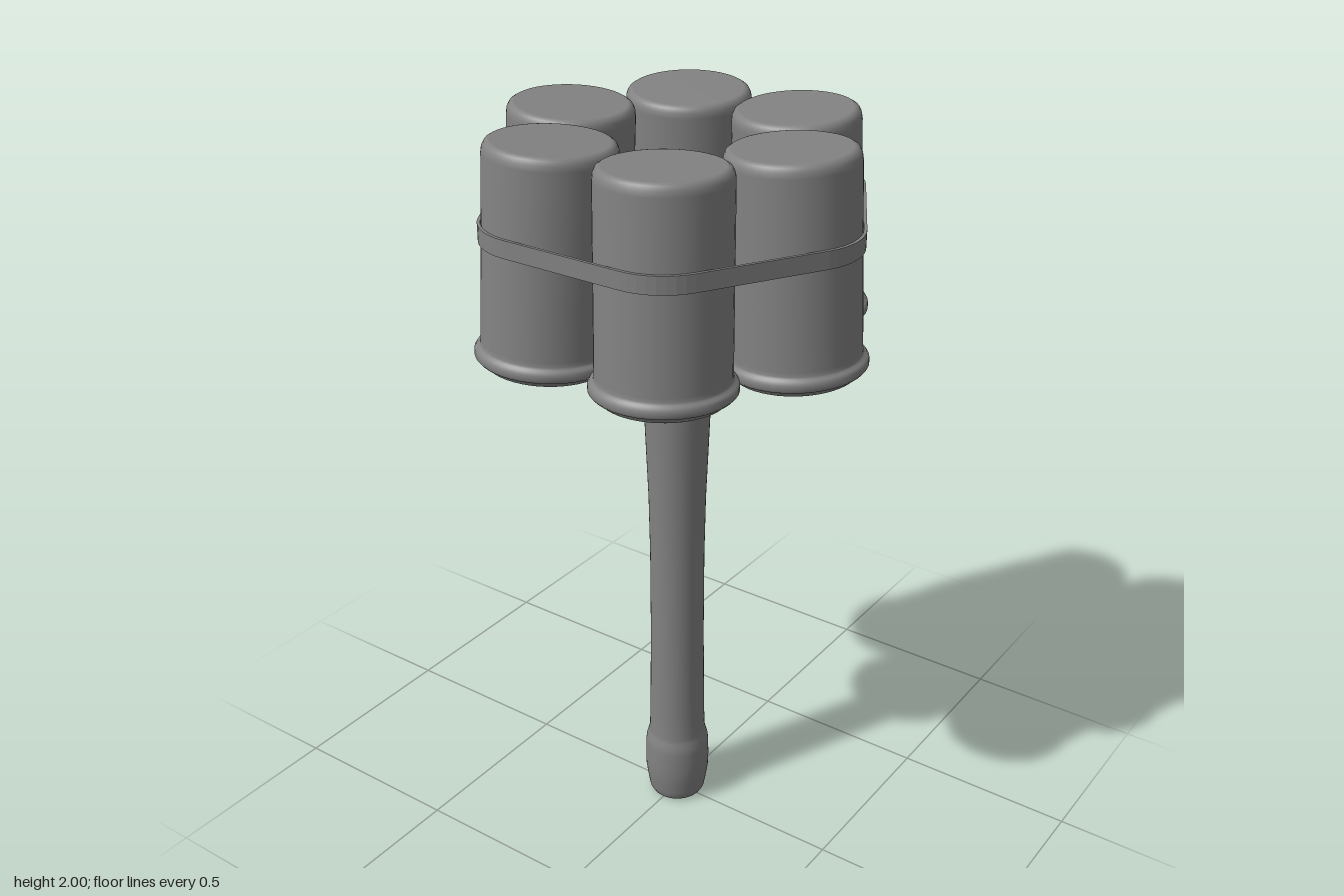
import * as THREE from 'three';

const material = new THREE.MeshStandardMaterial({ color: 0x828282 });

// Closed solid of revolution from [radius, y] pairs, listed bottom to top
function turned(name, profile, segments = 48) {
  const pts = profile.map(([r, y]) => new THREE.Vector2(r, y));
  const mesh = new THREE.Mesh(new THREE.LatheGeometry(pts, segments), material);
  mesh.name = name;
  return mesh;
}

// Can with an inset base, rolled rim and rounded top edge
function canProfile(height, r, rim) {
  return [
    [0, 0], [rim - 0.03, 0], [rim - 0.026, 0.002], [rim - 0.022, 0.014],
    [rim - 0.006, 0.018], [rim, 0.025], [rim, 0.039], [rim - 0.005, 0.047],
    [r + 0.003, 0.05], [r + 0.001, 0.056], [r, 0.066],
    [r - 0.003, height - 0.03], [r - 0.005, height - 0.016],
    [r - 0.01, height - 0.006], [r - 0.018, height - 0.001],
    [r - 0.024, height], [0, height],
  ];
}

// Strap: flat ring following the convex outline around the six cans
function strap(centreRadius, offset, thickness, height) {
  const outline = (d) => {
    const pts = [];
    for (let i = 0; i < 6; i++) {
      const a = Math.PI / 2 + (i * Math.PI) / 3;
      for (let k = 0; k <= 8; k++) {
        const b = a + (k / 8 - 0.5) * (Math.PI / 3);
        pts.push(new THREE.Vector2(
          centreRadius * Math.cos(a) + d * Math.cos(b),
          centreRadius * Math.sin(a) + d * Math.sin(b)));
      }
    }
    return pts;
  };
  const shape = new THREE.Shape(outline(offset + thickness));
  shape.holes.push(new THREE.Path(outline(offset)));
  const geo = new THREE.ExtrudeGeometry(shape, { depth: height, bevelEnabled: false });
  geo.rotateX(-Math.PI / 2);
  const mesh = new THREE.Mesh(geo, material);
  mesh.name = 'strap';
  return mesh;
}

export function createModel() {
  const model = new THREE.Group();
  model.name = 'bundledCharge';

  // Handle with a swollen, rounded end, flaring gently towards the head
  model.add(turned('handle', [
    [0, 0], [0.064, 0], [0.073, 0.004], [0.079, 0.014], [0.082, 0.03],
    [0.086, 0.055], [0.09, 0.085], [0.091, 0.12], [0.09, 0.17],
    [0.088, 0.188], [0.083, 0.205], [0.079, 0.22], [0.077, 0.3],
    [0.074, 0.55], [0.074, 0.8], [0.077, 0.98], [0.084, 1.16],
    [0.09, 1.32], [0.093, 1.42], [0.093, 1.47], [0, 1.47],
  ]));

  // Central can, set lower than the ring around it
  const core = turned('centreCan', canProfile(0.36, 0.169, 0.17));
  core.position.y = 1.437;
  model.add(core);

  // Ring of six cans, each leaning slightly inwards
  const ring = new THREE.Group();
  ring.name = 'canRing';
  for (let i = 0; i < 6; i++) {
    const arm = new THREE.Group();
    arm.name = 'canArm' + (i + 1);
    arm.rotation.y = (i * Math.PI) / 3;
    const can = turned('outerCan' + (i + 1), canProfile(0.555, 0.164, 0.179));
    can.position.set(0, 1.438, 0.35);
    can.rotation.x = -0.052;
    arm.add(can);
    ring.add(arm);
  }
  model.add(ring);

  // Strap holding the ring together
  const band = strap(0.331, 0.163, 0.008, 0.045);
  band.position.y = 1.757;
  model.add(band);

  return model;
}
